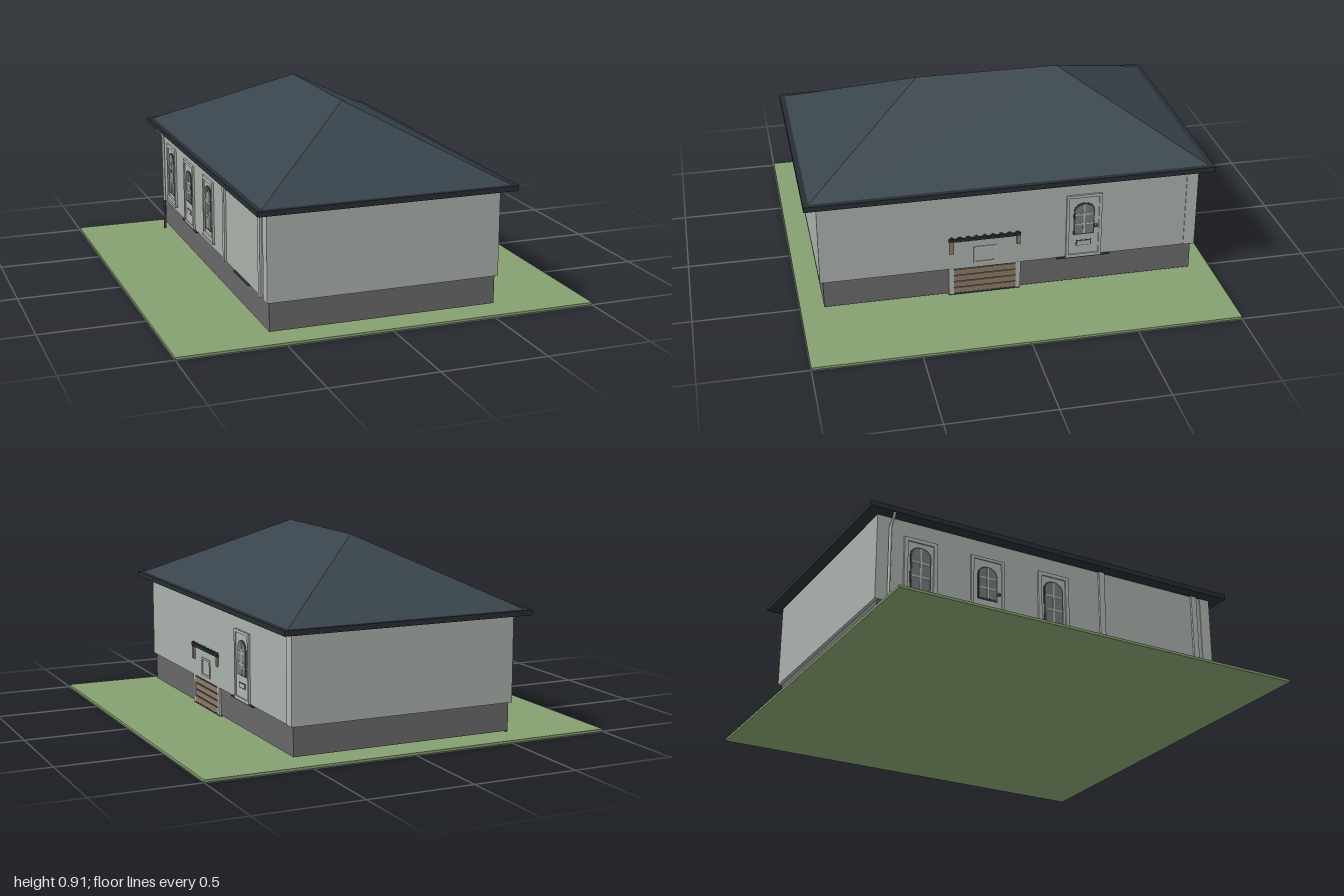
import * as THREE from 'three';

export function createModel() {
  const house = new THREE.Group();
  house.name = 'house';
  const mat = (name, color, extra = {}) => {
    const m = new THREE.MeshStandardMaterial({ color, ...extra });
    m.name = name;
    return m;
  };
  const grass = mat('grass', 0x86a070);
  const wall = mat('wall render', 0xaab0ab);
  const plinthGrey = mat('plinth grey', 0x686868);
  const slate = mat('roof slate', 0x38434b, { flatShading: true });
  const gutterDark = mat('gutter dark', 0x272d33);
  const trim = mat('trim', 0xb0b5b1);
  const glass = mat('glass', 0x727b79);
  const wood = mat('wood', 0x8c7a66);
  const dark = mat('dark metal', 0x3b3f42);

  const add = (parent, name, geo, m, x = 0, y = 0, z = 0) => {
    const mesh = new THREE.Mesh(geo, m);
    mesh.name = name;
    mesh.position.set(x, y, z);
    parent.add(mesh);
    return mesh;
  };
  // box given by its low and high corner
  const span = (parent, name, m, [x0, y0, z0], [x1, y1, z1]) =>
    add(parent, name, new THREE.BoxGeometry(x1 - x0, y1 - y0, z1 - z0), m,
      (x0 + x1) / 2, (y0 + y1) / 2, (z0 + z1) / 2);

  // Ground, plinth and walls
  span(house, 'lawn', grass, [-1, 0, -1], [1, 0.012, 1]);
  span(house, 'plinth', plinthGrey, [-0.545, 0.028, -0.89], [0.545, 0.165, 0.89]);
  span(house, 'walls', wall, [-0.555, 0.165, -0.905], [0.555, 0.59, 0.905]);

  // Hip roof above the eaves
  span(house, 'eaves', gutterDark, [-0.617, 0.578, -0.965], [0.617, 0.603, 0.965]);
  const a = 0.597, b = 0.945, y = 0.6, r = 0.345, h = 0.914;
  const A = [-a, y, b], B = [a, y, b], C = [a, y, -b], D = [-a, y, -b];
  const R1 = [0, h, r], R2 = [0, h, -r];
  const roofGeo = new THREE.BufferGeometry();
  roofGeo.setAttribute('position', new THREE.Float32BufferAttribute(
    [A, B, R1, B, C, R2, B, R2, R1, C, D, R2, D, A, R1, D, R1, R2].flat(), 3));
  roofGeo.computeVertexNormals();
  add(house, 'hipRoof', roofGeo, slate);

  // Arched plate, standing on its bottom edge
  const archGeo = (w, ht, depth) => {
    const s = new THREE.Shape();
    const rise = w * 0.4;
    s.moveTo(-w / 2, 0);
    s.lineTo(w / 2, 0);
    s.lineTo(w / 2, ht - rise);
    s.absellipse(0, ht - rise, w / 2, rise, 0, Math.PI, false);
    s.lineTo(-w / 2, 0);
    return new THREE.ExtrudeGeometry(s, { depth, bevelEnabled: false, curveSegments: 10 });
  };

  // Four-sided frame around an opening
  const frame = (g, w, y0, y1, t, depth) => {
    for (const s of [-1, 1]) {
      add(g, 'frameSide', new THREE.BoxGeometry(t, y1 - y0, depth), trim, s * (w - t) / 2, (y0 + y1) / 2, depth / 2);
    }
    for (const yy of [y0 + t / 2, y1 - t / 2]) {
      add(g, 'frameRail', new THREE.BoxGeometry(w - 2 * t, t, depth), trim, 0, yy, depth / 2);
    }
  };

  // Arched pane with glazing bars
  const archedPane = (g, w, y0, ht) => {
    add(g, 'paneSurround', archGeo(w + 0.014, ht + 0.014, 0.006), dark, 0, y0 - 0.007, 0);
    add(g, 'pane', archGeo(w, ht, 0.008), glass, 0, y0, 0);
    span(g, 'bar', trim, [-0.004, y0, 0], [0.004, y0 + ht, 0.0095]);
    for (const f of [0.33, 0.66]) {
      span(g, 'bar', trim, [-w / 2, y0 + ht * f - 0.004, 0], [w / 2, y0 + ht * f + 0.004, 0.0095]);
    }
  };

  // Place a group built facing +z on a long wall; side is +1 or -1
  const onWall = (name, side, z) => {
    const g = new THREE.Group();
    g.name = name;
    g.position.set(side * 0.555, 0, z);
    g.rotation.y = side * Math.PI / 2;
    house.add(g);
    return g;
  };

  // Doors on both long walls
  for (const side of [1, -1]) {
    const g = onWall('door', side, -0.35);
    frame(g, 0.172, 0.165, 0.495, 0.014, 0.01);
    span(g, 'doorLeaf', trim, [-0.072, 0.175, 0], [0.072, 0.482, 0.004]);
    archedPane(g, 0.088, 0.29, 0.155);
    span(g, 'letterPlate', dark, [-0.037, 0.223, 0], [0.037, 0.252, 0.005]);
    span(g, 'letterFlap', trim, [-0.033, 0.227, 0], [0.033, 0.248, 0.008]);
    add(g, 'knob', new THREE.SphereGeometry(0.009, 10, 8), dark, 0.059, 0.325, 0.006);
    span(g, 'doorSill', dark, [-0.13, 0.16, -0.012], [0.13, 0.167, 0.008]);
  }

  // Tall windows on the -x wall
  for (const z of [-0.69, 0]) {
    const g = onWall('window', -1, z);
    frame(g, 0.165, 0.2, 0.5, 0.018, 0.01);
    span(g, 'sash', trim, [-0.066, 0.217, 0], [0.066, 0.484, 0.003]);
    archedPane(g, 0.09, 0.245, 0.21);
    span(g, 'windowSill', trim, [-0.09, 0.19, 0], [0.09, 0.2, 0.013]);
  }

  // Wide panel with upright posts on the -x wall
  const bay = onWall('widePanel', -1, 0.54);
  for (const x of [-0.27, 0.27]) span(bay, 'post', trim, [x - 0.015, 0.165, 0], [x + 0.015, 0.578, 0.01]);
  span(bay, 'threshold', dark, [-0.12, 0.16, -0.01], [0.1, 0.168, 0.008]);

  // Corner strips
  span(house, 'cornerStrip', trim, [0.55, 0.165, -0.905], [0.559, 0.578, -0.85]);
  span(house, 'cornerStrip', trim, [-0.559, 0.165, 0.85], [-0.55, 0.578, 0.905]);

  // Steps between pale cheek walls
  for (const [z0, z1] of [[-0.045, -0.022], [0.275, 0.3]]) {
    span(house, 'stepCheek', trim, [0.5, 0.028, z0], [0.556, 0.166, z1]);
  }
  span(house, 'stepBase', dark, [0.25, 0.022, -0.045], [0.553, 0.03, 0.3]);
  for (let i = 0; i < 4; i++) {
    const y0 = 0.032 + i * 0.033;
    span(house, 'stepBoard', wood, [0.5, y0, -0.022], [0.555, y0 + 0.027, 0.275]);
    span(house, 'stepGap', dark, [0.5, y0 + 0.027, -0.022], [0.55, y0 + 0.033, 0.275]);
  }

  // Small canopy with a ribbed top and wooden brackets
  span(house, 'canopy', gutterDark, [0.54, 0.314, -0.045], [0.566, 0.327, 0.3]);
  for (let i = 0; i < 9; i++) {
    const rib = add(house, 'canopyRib', new THREE.CylinderGeometry(0.012, 0.012, 0.026, 8), gutterDark,
      0.553, 0.324, -0.03 + i * 0.0395);
    rib.rotation.z = Math.PI / 2;
  }
  span(house, 'canopyBracket', wood, [0.545, 0.25, 0.275], [0.564, 0.315, 0.298]);
  span(house, 'canopyBracket', wood, [0.545, 0.268, -0.043], [0.564, 0.315, -0.026]);

  // Little window under the canopy
  const hatch = onWall('smallWindow', 1, 0.125);
  frame(hatch, 0.11, 0.185, 0.275, 0.01, 0.004);

  // Downpipe on the -x wall
  const pipe = (name, m, pts) => add(house, name, new THREE.TubeGeometry(
    new THREE.CatmullRomCurve3(pts.map(p => new THREE.Vector3(...p)), false, 'catmullrom', 0.1), 16, 0.007, 8), m);
  pipe('upperDownpipe', trim, [[-0.608, 0.585, -0.845], [-0.605, 0.565, -0.845], [-0.565, 0.525, -0.845], [-0.564, 0.165, -0.845]]);
  pipe('lowerDownpipe', dark, [[-0.564, 0.165, -0.845], [-0.564, 0.012, -0.845]]);

  return house;
}
